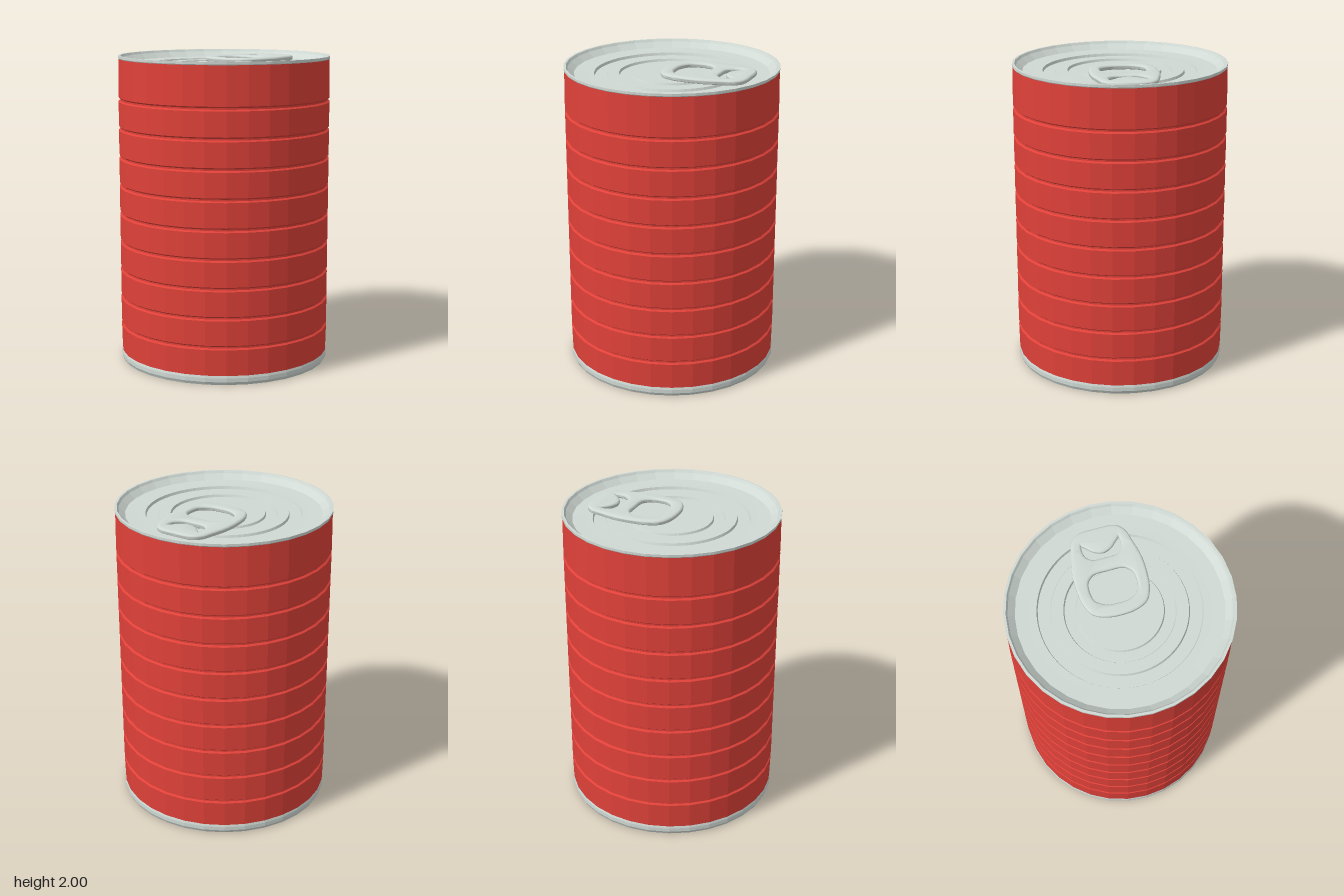
import * as THREE from 'three';
import { toCreasedNormals } from 'three/addons/utils/BufferGeometryUtils.js';

const red = new THREE.MeshStandardMaterial({ color: 0xdf4139 });
red.name = 'red paint';
const silver = new THREE.MeshStandardMaterial({ color: 0xd0d9d4 });
silver.name = 'silver metal';

const R = 0.685;

// Faceted solid of revolution from [radius, height] pairs
function turned(name, profile, material, sides = 32) {
  const points = profile.map(([r, y]) => new THREE.Vector2(r, y));
  const geometry = new THREE.LatheGeometry(points, sides).toNonIndexed();
  geometry.computeVertexNormals();
  const mesh = new THREE.Mesh(geometry, material);
  mesh.name = name;
  return mesh;
}

// Painted wall with nine evenly spaced grooves
function createBody() {
  const profile = [[R - 0.004, 0.06]];
  for (let i = 0; i < 9; i++) {
    const y = 0.24 + i * 0.185;
    profile.push([R, y - 0.014], [R - 0.012, y - 0.005], [R - 0.012, y + 0.005], [R, y + 0.014]);
  }
  profile.push([R - 0.003, 1.98]);
  return turned('body', profile, red);
}

// Ring-pull plate: rolled outline with a finger hole and a notched slot
function createPullTab() {
  const bevel = 0.018;
  const v = (x, z) => new THREE.Vector2(x, -z);
  const mirrored = (half) => [
    ...half,
    ...half.slice().reverse().filter(([x]) => x > 0).map(([x, z]) => [-x, z]),
  ].map(([x, z]) => v(x, z));
  const smooth = (half, n) => new THREE.CatmullRomCurve3(
    mirrored(half).map((p) => new THREE.Vector3(p.x, p.y, 0)), true, 'centripetal',
  ).getPoints(n).slice(0, -1).map((p) => new THREE.Vector2(p.x, p.y));

  const shape = new THREE.Shape(smooth([
    [0, 0.027], [0.09, 0.017], [0.155, -0.015], [0.187, -0.08], [0.2, -0.18], [0.197, -0.29],
    [0.172, -0.4], [0.155, -0.465], [0.115, -0.508], [0, -0.517],
  ], 72));
  const fingerHole = smooth([
    [0, -0.015], [0.08, -0.025], [0.145, -0.07], [0.162, -0.14],
    [0.15, -0.215], [0.1, -0.262], [0, -0.268],
  ], 48);
  const slot = smooth([
    [0, -0.317], [0.08, -0.322], [0.125, -0.36], [0.138, -0.42], [0.122, -0.468],
    [0.085, -0.44], [0.045, -0.403], [0, -0.388],
  ], 56);
  shape.holes.push(new THREE.Path(fingerHole), new THREE.Path(slot));

  let geometry = new THREE.ExtrudeGeometry(shape, {
    depth: 0.008, bevelEnabled: true, bevelSize: bevel, bevelThickness: 0.013, bevelSegments: 4,
  });
  geometry.rotateX(-Math.PI / 2);
  geometry = toCreasedNormals(geometry, 0.8);
  const tab = new THREE.Mesh(geometry, silver);
  tab.name = 'pullTab';
  tab.position.y = 1.963;
  return tab;
}

export function createModel() {
  const can = new THREE.Group();
  can.name = 'can';

  can.add(createBody());

  // Base with a recessed underside
  can.add(turned('base', [
    [0, 0.07], [0.44, 0.07], [0.48, 0.055], [0.53, 0.055], [0.56, 0.07], [0.62, 0.07],
    [0.66, 0.01], [0.668, 0], [0.675, 0], [R, 0.02], [R, 0.045], [R - 0.004, 0.06],
  ], silver));

  // Top rim and its sloping inner wall
  can.add(turned('topRim', [
    [R - 0.003, 1.98], [R, 1.985], [R, 2], [0.67, 2], [0.66, 1.985], [0.62, 1.952], [0.54, 1.95],
  ], silver));

  // Lid panel with concentric pressed steps
  can.add(turned('lid', [
    [0.545, 1.95], [0.492, 1.95], [0.486, 1.933], [0.412, 1.933], [0.406, 1.948],
    [0.334, 1.948], [0.328, 1.933], [0.264, 1.933], [0.258, 1.946], [0, 1.946],
  ], silver, 64));

  // Rivet joining the tab to the lid, under the solid bridge
  const rivet = new THREE.Mesh(new THREE.CylinderGeometry(0.02, 0.02, 0.03, 16), silver);
  rivet.name = 'rivet';
  rivet.position.set(0, 1.95, -0.293);
  can.add(rivet, createPullTab());

  return can;
}
